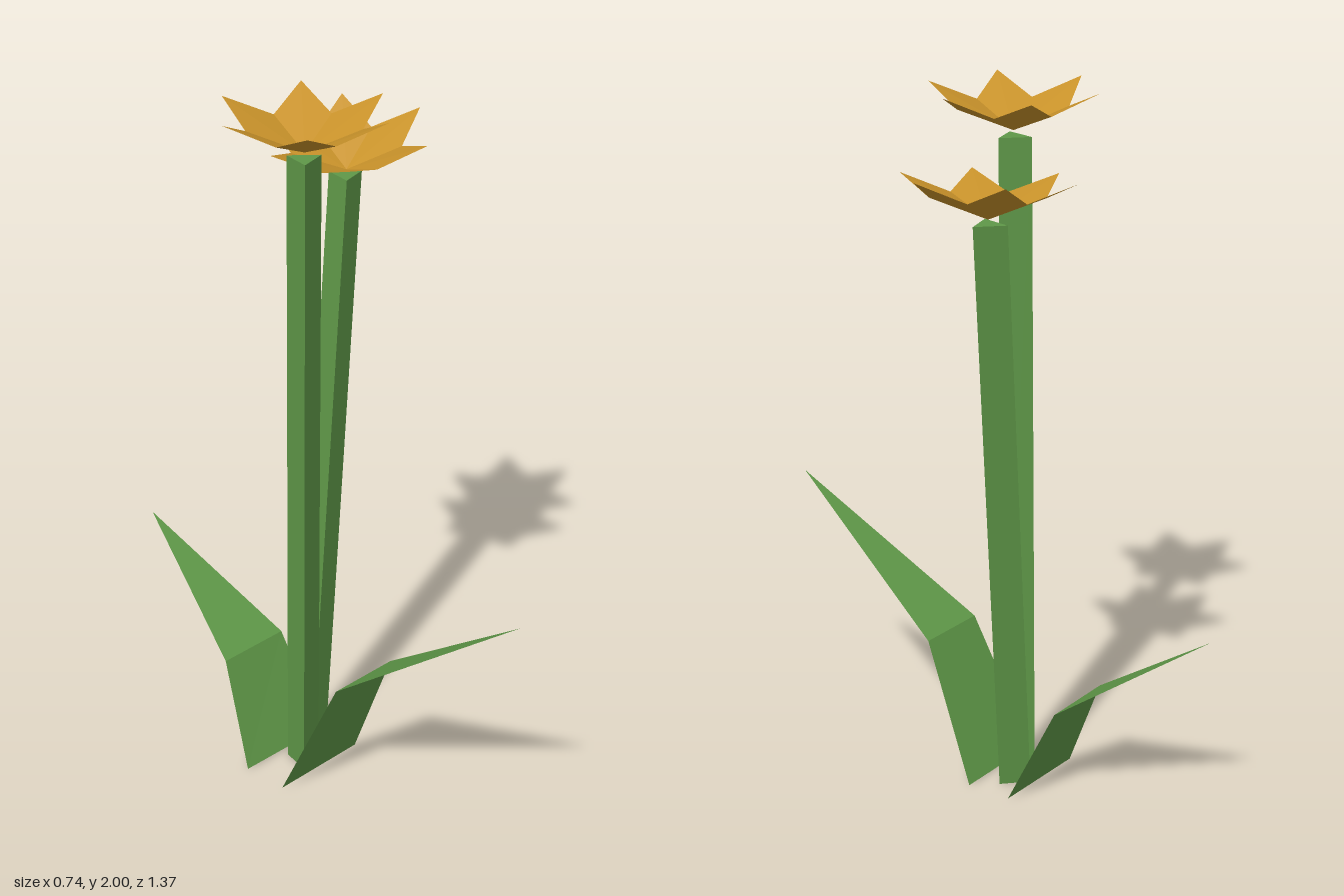
import * as THREE from 'three';

export function createModel() {
  const model = new THREE.Group();

  const green = new THREE.MeshStandardMaterial({ color: 0x5f9848, flatShading: true, side: THREE.DoubleSide });
  green.name = 'leaf green';
  const yellow = new THREE.MeshStandardMaterial({ color: 0xc8922a, flatShading: true, side: THREE.DoubleSide });
  yellow.name = 'petal yellow';

  const add = (name, geometry, material) => {
    const mesh = new THREE.Mesh(geometry, material);
    mesh.name = name;
    model.add(mesh);
  };

  // Flat-sided surface from corner points and triangles
  const surface = (points, faces) => {
    const g = new THREE.BufferGeometry();
    g.setAttribute('position', new THREE.Float32BufferAttribute(points.flat(), 3));
    g.setIndex(faces.flat());
    const flat = g.toNonIndexed();
    flat.computeVertexNormals();
    return flat;
  };

  // Three-sided stem, sheared so both ends stay level
  const stem = (name, [bx, bz], [tx, height, tz]) => {
    const g = new THREE.CylinderGeometry(0.052, 0.052, height, 3, 1, false, Math.PI / 2).toNonIndexed();
    g.translate(0, height / 2, 0);
    const p = g.attributes.position;
    for (let i = 0; i < p.count; i++) {
      const t = p.getY(i) / height;
      p.setX(i, p.getX(i) + bx + (tx - bx) * t);
      p.setZ(i, p.getZ(i) + bz + (tz - bz) * t);
    }
    g.computeVertexNormals();
    add(name, g, green);
  };

  // Six-pointed shallow cup of petals, tilted by a slope in x and z
  const flower = (name, [cx, cy, cz], rise, slopeX, slopeZ) => {
    const points = [[cx, cy, cz]];
    const faces = [];
    for (let i = 0; i < 12; i++) {
      const tip = i % 2 === 0;
      const r = tip ? 0.24 : 0.15;
      const a = (i * Math.PI) / 6;
      const dx = r * Math.cos(a);
      const dz = r * Math.sin(a);
      points.push([cx + dx, cy + (tip ? rise : rise * 0.52) + slopeX * dx + slopeZ * dz, cz + dz]);
      faces.push([0, ((i + 1) % 12) + 1, i + 1]);
    }
    add(name, surface(points, faces), yellow);
  };

  // Bent leaf blade: base edge, fold edge, pointed tip
  const leaf = (name, points, flip) => {
    const faces = [[0, 1, 3], [0, 3, 2], [2, 3, 4]];
    add(name, surface(points, flip ? faces.map((f) => [...f].reverse()) : faces), green);
  };

  stem('tallStem', [-0.132, -0.07], [-0.132, 1.87, -0.03]);
  stem('shortStem', [-0.089, -0.1], [0.126, 1.715, -0.235]);

  flower('tallFlower', [-0.13, 1.885, -0.032], 0.115, 0, 0);
  flower('shortFlower', [0.13, 1.727, -0.238], 0.108, 0.1, -0.08);

  leaf('frontLeaf', [
    [-0.26, 0, 0.02], [0.035, 0, -0.05],
    [-0.18, 0.39, 0.185], [0.035, 0.39, 0.135],
    [0.067, 0.765, 0.68],
  ], true);
  leaf('backLeaf', [
    [-0.295, 0, -0.115], [0, 0, -0.18],
    [-0.283, 0.295, -0.25], [-0.06, 0.295, -0.305],
    [-0.275, 0.59, -0.685],
  ], false);

  return model;
}
